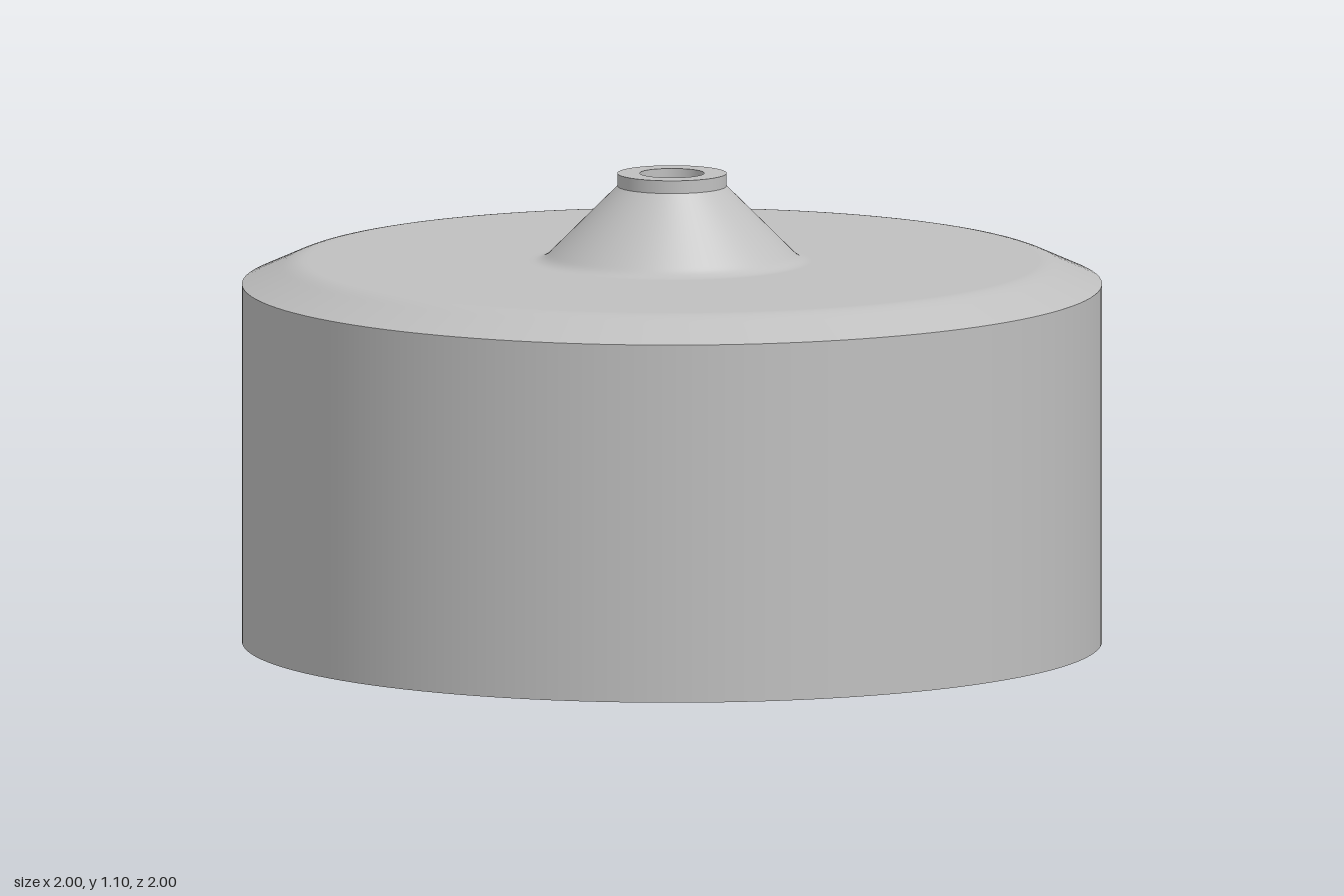
import * as THREE from 'three';

const SEGMENTS = 128;

// Points of a smooth bend from a to b around corner c
function bend(a, c, b, steps = 6) {
  const curve = new THREE.QuadraticBezierCurve(
    new THREE.Vector2(...a), new THREE.Vector2(...c), new THREE.Vector2(...b));
  return curve.getPoints(steps).map((p) => [p.x, p.y]);
}

export function createModel() {
  const grey = new THREE.MeshStandardMaterial({ color: 0xbfbfbf });
  grey.name = 'grey';

  const model = new THREE.Group();
  model.name = 'hubbedDrum';

  // Each surface is turned separately so the edges between them stay sharp
  const turn = (name, profile) => {
    const points = profile.map(([r, y]) => new THREE.Vector2(r, y));
    const mesh = new THREE.Mesh(new THREE.LatheGeometry(points, SEGMENTS), grey);
    mesh.name = name;
    model.add(mesh);
  };

  const bore = 0.075, collar = 0.127, top = 1.1, deck = 0.895;

  turn('base', [[bore, 0], [1, 0]]);
  turn('sideWall', [[1, 0], [1, 0.84]]);

  // Sloped rim blending into the flat deck, then up the conical hub;
  // the extra points beside each bend keep the straight runs flat
  turn('deckAndHub', [
    [1, 0.84], [0.915, 0.878],
    ...bend([0.905, 0.8825], [0.877, deck], [0.855, deck]),
    [0.845, deck], [0.335, deck],
    ...bend([0.325, deck], [0.302, deck], [0.286, 0.911]),
    [0.28, 0.917], [collar, 1.07],
  ]);

  // Short collar and through bore
  turn('collar', [[collar, 1.07], [collar, top]]);
  turn('collarTop', [[collar, top], [bore, top]]);
  turn('boreWall', [[bore, top], [bore, 0]]);

  return model;
}
